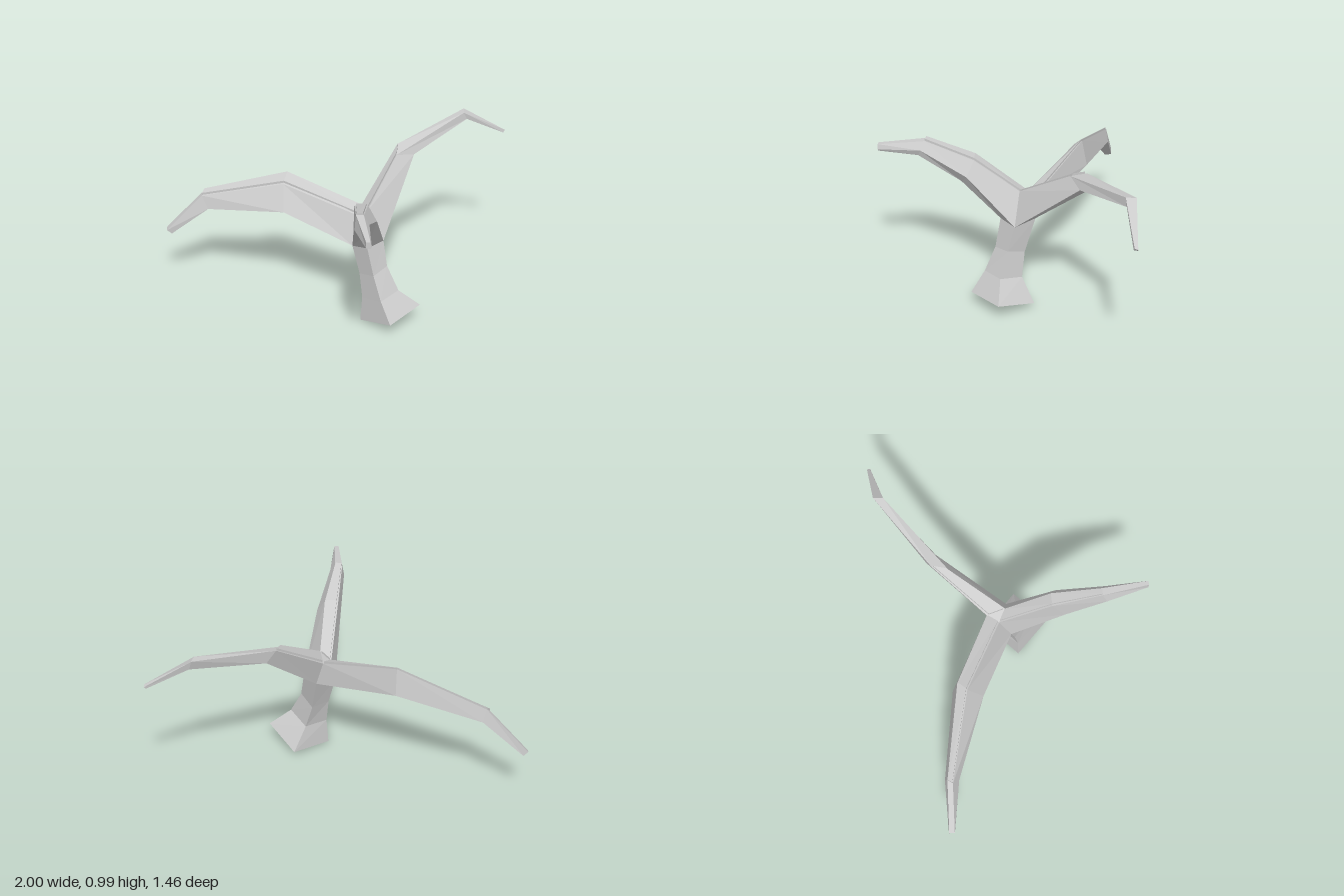
import * as THREE from 'three';

const material = new THREE.MeshStandardMaterial({ color: 0xcccccc, flatShading: true });

// Skin a list of matching cross-sections, optionally closing either end.
function loft(name, rings, capStart, capEnd) {
  const pos = [];
  const tri = (...pts) => pts.forEach((p) => pos.push(...p));
  const n = rings[0].length;
  for (let k = 0; k + 1 < rings.length; k++) {
    const a = rings[k], b = rings[k + 1];
    for (let i = 0; i < n; i++) {
      const j = (i + 1) % n;
      tri(a[i], a[j], b[j]);
      tri(a[i], b[j], b[i]);
    }
  }
  const first = rings[0], last = rings[rings.length - 1];
  for (let i = 1; i + 1 < n; i++) {
    if (capStart) tri(first[0], first[i + 1], first[i]);
    if (capEnd) tri(last[0], last[i], last[i + 1]);
  }
  const geo = new THREE.BufferGeometry();
  geo.setAttribute('position', new THREE.Float32BufferAttribute(pos, 3));
  geo.computeVertexNormals();
  const mesh = new THREE.Mesh(geo, material);
  mesh.name = name;
  return mesh;
}

// Thin raised strip lying on the top face (last two corners) of each section.
function ridge(name, rings, height = 0.013, inset = 0.12) {
  const mix = (p, q, t) => p.map((v, i) => v + (q[i] - v) * t);
  const lift = (p) => [p[0], p[1] + height, p[2]];
  const sections = rings.map((r) => {
    const p = r[r.length - 2], q = r[r.length - 1];
    const right = mix(p, q, inset), left = mix(q, p, inset);
    return [left, right, lift(right), lift(left)];
  });
  return loft(name, sections, true, true);
}

export function createModel() {
  const group = new THREE.Group();
  group.name = 'branchingTrunk';

  // Junction corners: trunk top (A-D) and upper fork (E-G)
  const A = [0.075, 0.46, -0.025], B = [0.155, 0.485, 0.055];
  const C = [0.25, 0.485, -0.035], D = [0.17, 0.505, -0.14];
  const E = [0.155, 0.66, -0.05], F = [0.09, 0.625, -0.09], G = [0.13, 0.65, -0.155];

  // Flared four-sided trunk
  const trunk = [
    [[0.12, 0, 0.02], [0.28, 0.07, 0.205], [0.46, 0.1, 0.03], [0.3, 0.035, -0.15]],
    [[0.13, 0.15, 0.02], [0.23, 0.185, 0.135], [0.335, 0.2, 0.035], [0.24, 0.165, -0.075]],
    [[0.115, 0.295, 0], [0.19, 0.32, 0.08], [0.27, 0.34, 0], [0.2, 0.305, -0.085]],
    [A, B, C, D],
  ];

  // Branch reaching forward, five-sided
  const front = [
    [A, B, C, E, F],
    [[0.068, 0.7, 0.275], [0.15, 0.7, 0.27], [0.197, 0.75, 0.235], [0.15, 0.83, 0.2], [0.075, 0.83, 0.2]],
    [[0.065, 0.84, 0.5], [0.13, 0.835, 0.51], [0.143, 0.87, 0.495], [0.115, 0.915, 0.475], [0.073, 0.915, 0.47]],
    [[0.115, 0.858, 0.73], [0.14, 0.855, 0.73], [0.145, 0.865, 0.73], [0.138, 0.893, 0.73], [0.115, 0.893, 0.73]],
  ];

  // Long drooping branch towards -x
  const right = [
    [D, A, F, G],
    [[-0.28, 0.615, -0.385], [-0.31, 0.575, -0.22], [-0.31, 0.712, -0.305], [-0.283, 0.765, -0.355]],
    [[-0.75, 0.53, -0.477], [-0.75, 0.51, -0.4], [-0.785, 0.58, -0.435], [-0.768, 0.605, -0.462]],
    [[-0.975, 0.33, -0.487], [-0.972, 0.325, -0.45], [-1, 0.345, -0.455], [-1, 0.355, -0.485]],
  ];

  // High rising branch towards +x
  const left = [
    [C, D, G, E],
    [[0.44, 0.845, -0.4], [0.4, 0.835, -0.455], [0.35, 0.9, -0.43], [0.335, 0.87, -0.34]],
    [[0.765, 0.945, -0.66], [0.765, 0.94, -0.7], [0.75, 0.992, -0.707], [0.745, 0.988, -0.652]],
    [[0.99, 0.832, -0.71], [0.99, 0.83, -0.73], [1, 0.84, -0.733], [1, 0.847, -0.715]],
  ];

  group.add(
    loft('trunk', trunk, true, false),
    loft('frontBranch', front, false, true),
    loft('rightBranch', right, false, true),
    loft('leftBranch', left, false, true),
    // Small triangular face between the three branches
    loft('forkTop', [[E, G, F]], false, true),
    // Raised strips
    ridge('frontRidge', front.slice(0, 3)),
    ridge('rightRidge', right.slice(0, 3)),
    ridge('leftRidge', left.slice(0, 2)),
  );
  return group;
}
